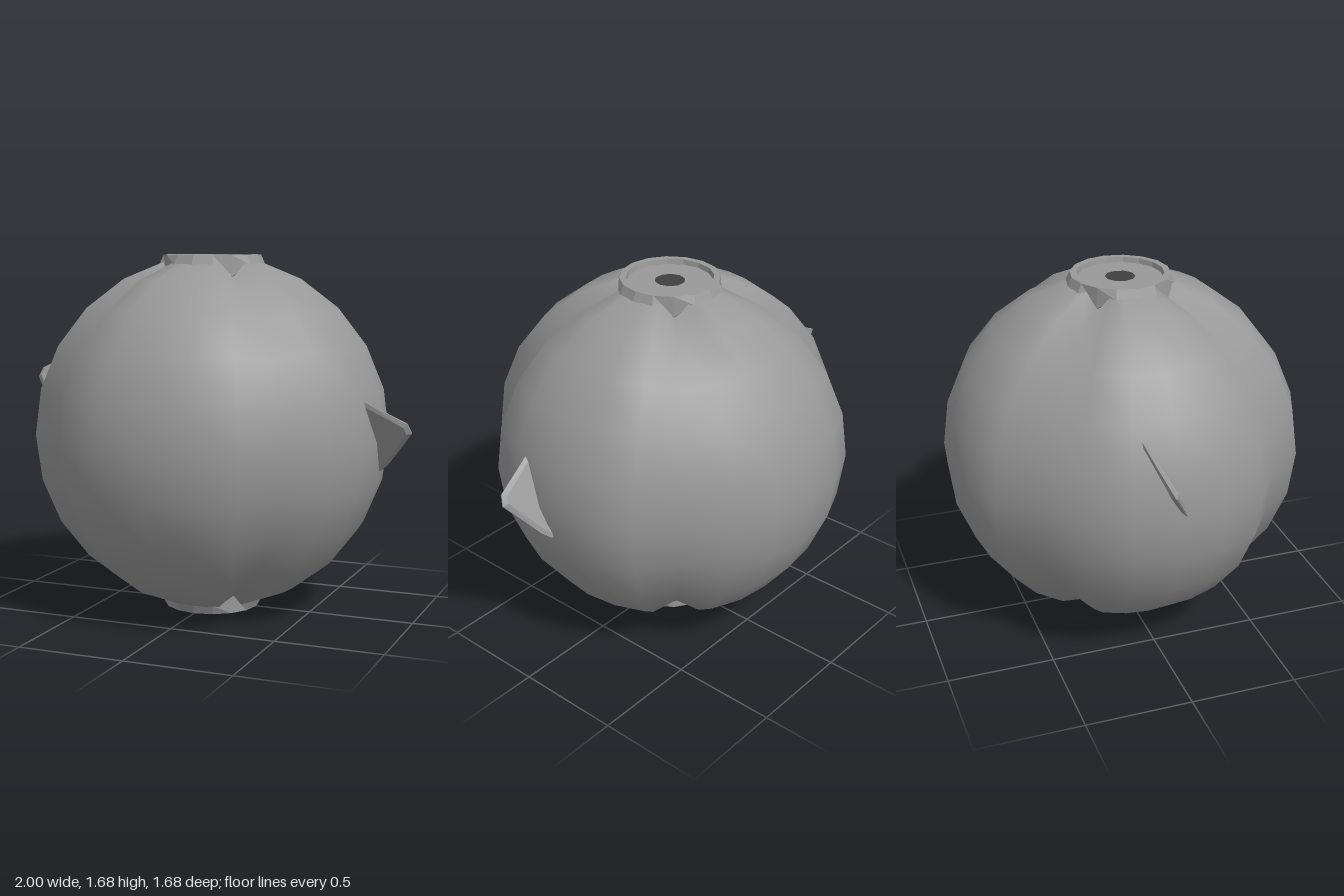
import * as THREE from 'three';
import { mergeVertices } from 'three/addons/utils/BufferGeometryUtils.js';

const R = 0.842;
const GROOVE = 0.928;
const material = (color, flatShading) =>
  new THREE.MeshStandardMaterial({ color, flatShading, side: THREE.DoubleSide });
const smoothGrey = material(0x999999, false);
const flatGrey = material(0x999999, true);
const darkGrey = material(0x5c5c5c, true);
const openingGrey = material(0x404040, true);

function addMesh(parent, name, geometry, mat) {
  const mesh = new THREE.Mesh(geometry, mat);
  mesh.name = name;
  parent.add(mesh);
  return mesh;
}

// Move every vertex of a geometry by a rule
function moveVertices(g, rule) {
  const p = g.attributes.position;
  const v = new THREE.Vector3();
  for (let i = 0; i < p.count; i++) {
    rule(v.fromBufferAttribute(p, i), i);
    p.setXYZ(i, v.x, v.y, v.z);
  }
  return g;
}

// Sphere with four grooves on the diagonals and sunken poles
function bodyGeometry() {
  const segments = 24;
  let g = moveVertices(new THREE.SphereGeometry(R, segments, 12), (v, i) => {
    const onGroove = (i % (segments + 1)) % 6 === 3;
    const onPole = Math.abs(v.y) > R - 0.001;
    if (onGroove || onPole) v.multiplyScalar(GROOVE);
  });
  g.deleteAttribute('uv');
  g.deleteAttribute('normal');
  g = mergeVertices(g, 1e-4);
  g.computeVertexNormals();
  return g;
}

// Chamfered collar, heights measured from the body centre; its edge dips into the grooves
function collarGeometry() {
  const profile = [[0.2, 0.72], [0.25, 0.797], [0.23, 0.842], [0.2, 0.842], [0.195, 0.812]]
    .map(([x, y]) => new THREE.Vector2(x, y));
  return moveVertices(new THREE.LatheGeometry(profile, 16), (v, i) => {
    const column = Math.floor(i / profile.length);
    if (column % 4 === 2 && i % profile.length === 1) v.multiplyScalar(GROOVE + 0.01);
  });
}

// Collar with its recessed floor
function createCollar(name, floorMaterial) {
  const group = new THREE.Group();
  group.name = name;
  group.position.y = R;
  addMesh(group, name + 'Ring', collarGeometry(), flatGrey);
  const floor = addMesh(group, name + 'Floor', new THREE.CircleGeometry(0.198, 16), floorMaterial);
  floor.rotation.x = -Math.PI / 2;
  floor.position.y = 0.818;
  return group;
}

// Thin tapered fin, thickest at mid height, its root buried in the body
function finGeometry() {
  const outline = [
    [0.7, 0.19], [0.8, 0.19], [0.985, 0.09], [1.0, 0.04],
    [0.87, -0.15], [0.83, -0.19], [0.7, -0.19],
  ].map(([x, y]) => new THREE.Vector2(x, y));
  const g = new THREE.ExtrudeGeometry(new THREE.Shape(outline), {
    depth: 0.006, bevelThickness: 0.013, bevelSize: 0.02, bevelOffset: -0.02, bevelSegments: 1,
  });
  return moveVertices(g.translate(0, 0, -0.003), (v) => {
    v.z = v.z * (1.3 - 4 * Math.abs(v.y)) + 0.06 * (v.x - 0.7);
  });
}

export function createModel() {
  const model = new THREE.Group();
  model.name = 'groovedSphere';

  addMesh(model, 'body', bodyGeometry(), smoothGrey).position.y = R;

  // Collars at both poles, with a small dark opening in the top one
  const top = createCollar('topCollar', flatGrey);
  const opening = addMesh(top, 'topOpening', new THREE.CircleGeometry(0.07, 10), openingGrey);
  opening.rotation.x = -Math.PI / 2;
  opening.position.y = 0.822;
  const bottom = createCollar('bottomCollar', darkGrey);
  bottom.rotation.x = Math.PI;
  model.add(top, bottom);

  // Side fins: the same tilted fin, turned half way round and raised for the right
  const fin = finGeometry();
  for (const [name, turn, y] of [['leftFin', 0, 0.873], ['rightFin', Math.PI, 1.03]]) {
    const holder = new THREE.Group();
    holder.name = name + 'Mount';
    holder.rotation.y = turn;
    holder.position.y = y;
    const mesh = addMesh(holder, name, fin, flatGrey);
    mesh.position.z = 0.06;
    mesh.rotation.x = 0.487;
    model.add(holder);
  }
  return model;
}
